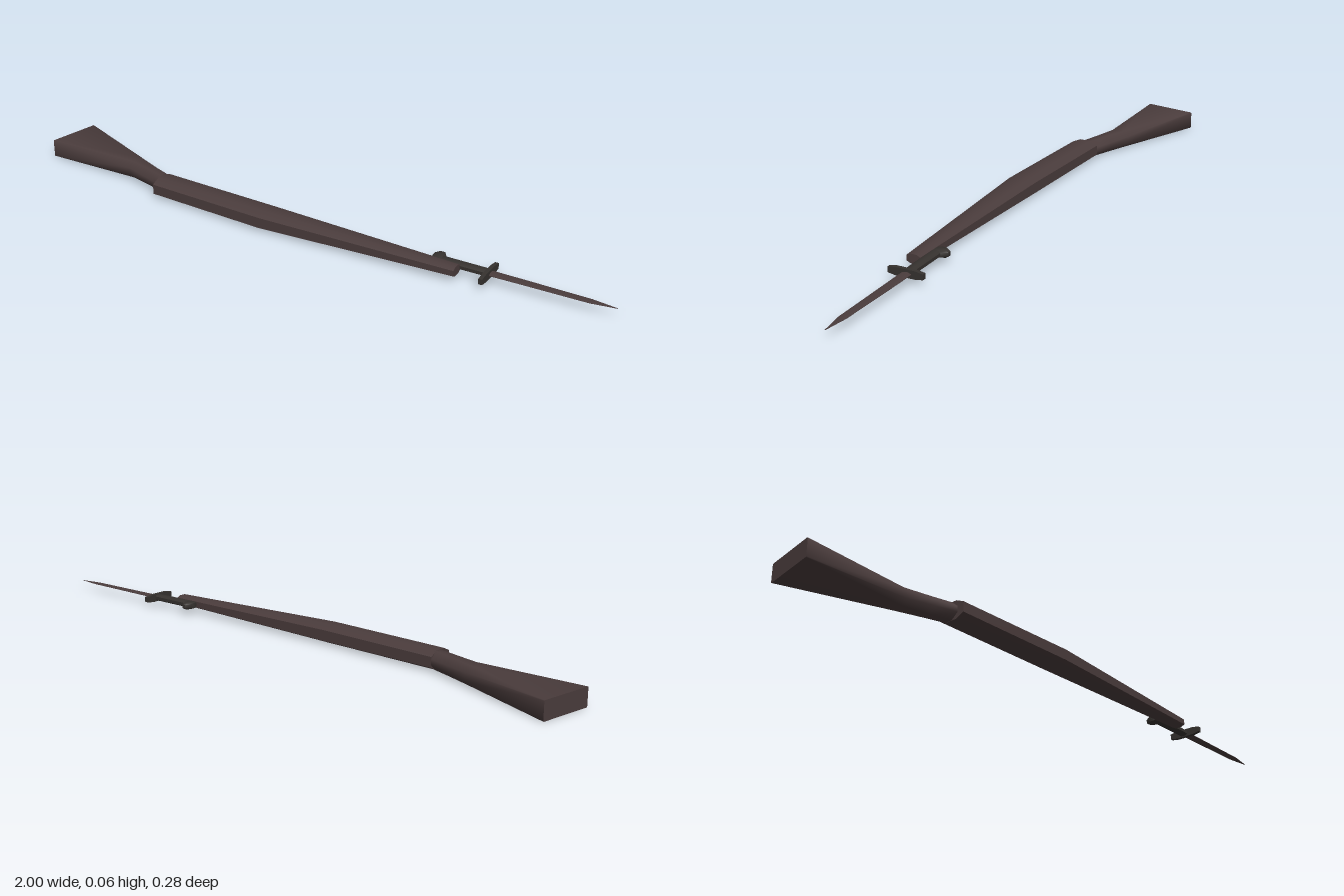
import * as THREE from 'three';
import { toCreasedNormals } from 'three/addons/utils/BufferGeometryUtils.js';

const MID = 0.029; // height of the centre plane

// Lofts chamfered eight-sided sections along x.
// Section: [x at the -z edge, x at the +z edge, zMin, zMax, half height, chamfer z, chamfer y]
function loft(sections, crease = 0.95) {
  const pos = [], idx = [], n = 8;
  for (const [xa, xb, z0, z1, h, cz, cy] of sections) {
    const ring = [
      [h, z0 + cz], [h, z1 - cz], [h - cy, z1], [cy - h, z1],
      [-h, z1 - cz], [-h, z0 + cz], [cy - h, z0], [h - cy, z0],
    ];
    for (const [y, z] of ring) {
      pos.push(xa + (xb - xa) * (z - z0) / (z1 - z0), MID + y, z);
    }
  }
  for (let i = 0; i < sections.length - 1; i++) {
    for (let j = 0; j < n; j++) {
      const a = i * n + j, c = i * n + (j + 1) % n;
      idx.push(a, c, a + n, c, c + n, a + n);
    }
  }
  const last = (sections.length - 1) * n;
  for (let j = 1; j < n - 1; j++) {
    idx.push(0, j + 1, j, last, last + j, last + j + 1);
  }
  const g = new THREE.BufferGeometry();
  g.setAttribute('position', new THREE.Float32BufferAttribute(pos, 3));
  g.setIndex(idx);
  return toCreasedNormals(g, crease);
}

export function createModel() {
  const model = new THREE.Group();
  const brown = new THREE.MeshStandardMaterial({ color: 0x4a3c3c });
  brown.name = 'dark brown';
  const iron = new THREE.MeshStandardMaterial({ color: 0x36322f });
  iron.name = 'dark iron';

  const add = (name, geometry, material) => {
    const mesh = new THREE.Mesh(geometry, material);
    mesh.name = name;
    model.add(mesh);
    return mesh;
  };

  // Butt flaring from the rounded wrist to a flat slanted end
  add('buttStock', loft([
    [-0.97, -1.0, -0.141, 0.035, 0.029, 0.002, 0.002],
    [-0.66, -0.66, -0.028, 0.05, 0.029, 0.02, 0.016],
    [-0.58, -0.58, 0.002, 0.073, 0.029, 0.022, 0.019],
    [-0.5, -0.5, 0.03, 0.098, 0.028, 0.022, 0.019],
  ]), brown);

  // Long fore stock, bowed and tapering to the muzzle
  add('foreStock', loft([
    [-0.515, -0.515, 0.024, 0.116, 0.029, 0.028, 0.013],
    [-0.1, -0.1, 0.045, 0.138, 0.029, 0.028, 0.012],
    [0.54, 0.54, 0.068, 0.113, 0.0145, 0.012, 0.006],
  ]), brown);

  // Bayonet: handle, hooked pommel, cross guard, blade
  add('bayonetHandle', loft([
    [0.46, 0.46, 0.04, 0.072, 0.01, 0.008, 0.005],
    [0.63, 0.63, 0.04, 0.07, 0.01, 0.008, 0.005],
  ]), iron);
  add('bayonetPommel', loft([
    [0.447, 0.447, 0.034, 0.062, 0.009, 0.006, 0.004],
    [0.458, 0.456, 0.02, 0.07, 0.011, 0.008, 0.005],
    [0.47, 0.474, 0.02, 0.07, 0.011, 0.008, 0.005],
    [0.482, 0.482, 0.038, 0.068, 0.009, 0.006, 0.004],
  ]), iron);
  add('crossGuard', loft([
    [0.618, 0.618, 0.003, 0.116, 0.0125, 0.025, 0.004],
    [0.63, 0.63, 0.003, 0.116, 0.0125, 0.025, 0.004],
  ], 0.4), iron);
  add('bayonetBlade', loft([
    [0.625, 0.625, 0.04, 0.071, 0.005, 0.012, 0.004],
    [0.72, 0.72, 0.04, 0.07, 0.0035, 0.012, 0.003],
    [0.925, 0.925, 0.043, 0.067, 0.003, 0.01, 0.0025],
    [1.0, 1.0, 0.053, 0.055, 0.0006, 0.0008, 0.0004],
  ]), brown);

  return model;
}
